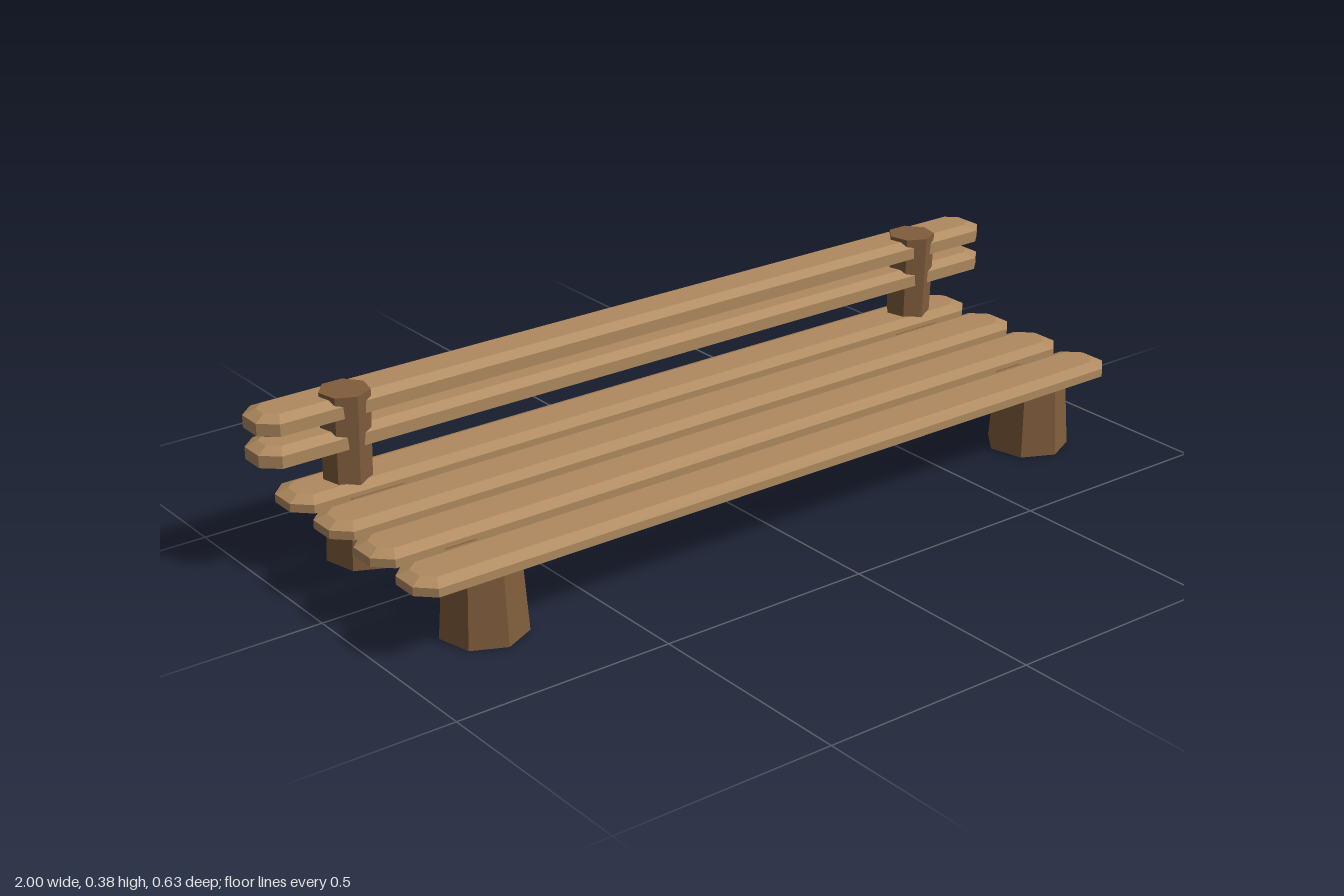
import * as THREE from 'three';
import { ConvexGeometry } from 'three/addons/geometries/ConvexGeometry.js';

const SIDES = 7;

// Octagonal outline at height y: half length, half depth, corner cuts in x and z
function outline(y, hx, hz, cutX, cutZ) {
  const pts = [];
  for (const sx of [-1, 1]) for (const sz of [-1, 1]) {
    pts.push(new THREE.Vector3(sx * hx, y, sz * (hz - cutZ)));
    pts.push(new THREE.Vector3(sx * (hx - cutX), y, sz * hz));
  }
  return pts;
}

// Hewn plank: straight-sided middle band, bevelled top and bottom
function plankGeometry(hx, hz, hy, band) {
  const cutZ = hz * 0.54;
  const pts = [];
  for (const s of [-1, 1]) {
    pts.push(...outline(s * band, hx, hz, 0.037, cutZ));
    pts.push(...outline(s * hy, hx - 0.025, hz * 0.6, 0.025, cutZ * 0.6));
  }
  return new ConvexGeometry(pts);
}

export function createModel() {
  const model = new THREE.Group();
  const plankWood = new THREE.MeshStandardMaterial({ color: 0xb08a5f, flatShading: true });
  const logWood = new THREE.MeshStandardMaterial({ color: 0x805d3c, flatShading: true });
  plankWood.name = 'plank wood';
  logWood.name = 'log wood';

  function add(name, geometry, material, x, y, z) {
    const mesh = new THREE.Mesh(geometry, material);
    mesh.name = name;
    mesh.position.set(x, y, z);
    model.add(mesh);
    return mesh;
  }

  // Four seat planks
  const seat = plankGeometry(0.945, 0.068, 0.0207, 0.0095);
  [0.239, 0.08, -0.079, -0.238].forEach((z) => add('seatPlank', seat, plankWood, 0, 0.1637, z));

  // Two backrest planks
  const back = plankGeometry(1, 0.0625, 0.0257, 0.0138);
  [0.2775, 0.3487].forEach((y) => add('backrestPlank', back, plankWood, 0, y, -0.2525));

  // Tapered log legs and slightly leaning backrest posts
  const leg = new THREE.CylinderGeometry(0.0826, 0.0947, 0.163, SIDES);
  const post = new THREE.CylinderGeometry(0.0555, 0.0522, 0.3, SIDES);
  const p = post.attributes.position;
  for (let i = 0; i < p.count; i++) p.setZ(i, p.getZ(i) + p.getY(i) * 0.033);
  post.computeVertexNormals();
  for (const side of [-1, 1]) {
    const label = side > 0 ? 'left' : 'right';
    add(label + 'FrontLeg', leg, logWood, side * 0.757, 0.0815, 0.2223);
    add(label + 'RearLeg', leg, logWood, side * 0.757, 0.0815, -0.2217);
    add(label + 'BackPost', post, logWood, side * 0.788, 0.233, -0.2363);
  }

  // Flattened log under the seat, thinner toward the left end
  const beam = new THREE.CylinderGeometry(0.0555, 0.0625, 1.514, SIDES);
  beam.rotateY(Math.PI / 2);
  beam.rotateZ(-Math.PI / 2);
  // turn the ridge upward, then flatten
  const ridge = new THREE.Vector3().fromBufferAttribute(beam.attributes.position, 0);
  beam.rotateX(Math.atan2(ridge.y, ridge.z) - Math.PI / 2);
  beam.rotateX(0);
  const top = new THREE.Vector3().fromBufferAttribute(beam.attributes.position, 0);
  if (top.y < 0) beam.rotateX(Math.PI);
  beam.scale(1, 0.325, 1);
  add('underBeam', beam, logWood, 0, 0.0817, 0);

  return model;
}
